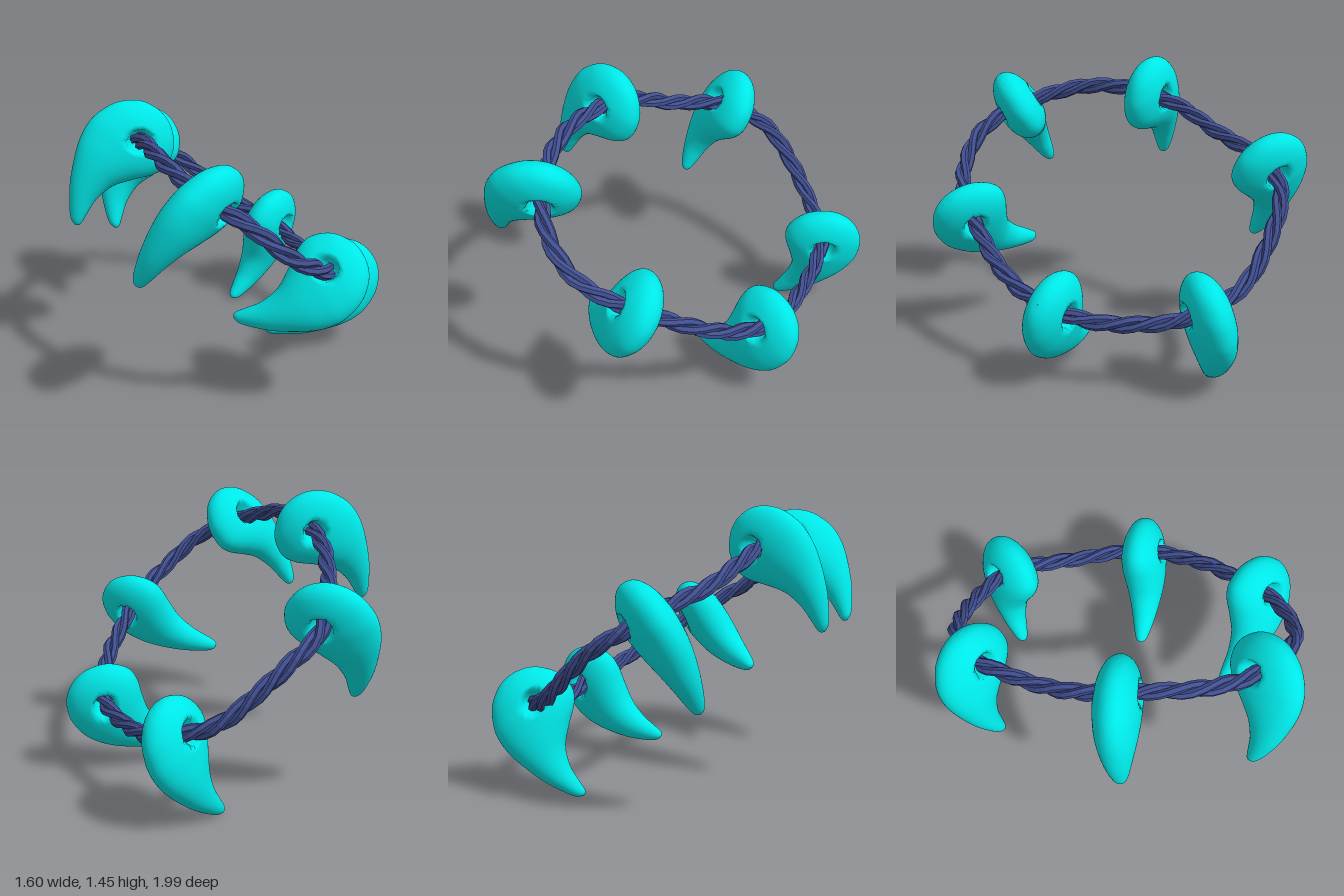
import * as THREE from 'three';
import { mergeVertices } from 'three/addons/utils/BufferGeometryUtils.js';

const V = (x, y, z) => new THREE.Vector3(x, y, z);

// Closed loop of the cord
const loop = [
  V(0.14, 0.455, -0.79), V(0.25, 0.395, -0.69), V(0.42, 0.365, -0.48), V(0.54, 0.38, -0.31),
  V(0.6, 0.41, -0.195), V(0.63, 0.45, -0.02), V(0.63, 0.54, 0.18), V(0.58, 0.66, 0.4),
  V(0.55, 0.725, 0.51), V(0.49, 0.8, 0.64), V(0.38, 0.9, 0.76), V(0.24, 1.03, 0.81),
  V(0.11, 1.11, 0.79), V(0.005, 1.16, 0.75), V(-0.12, 1.21, 0.67), V(-0.27, 1.265, 0.51),
  V(-0.37, 1.275, 0.34), V(-0.445, 1.25, 0.19), V(-0.52, 1.19, 0.0), V(-0.55, 1.1, -0.2),
  V(-0.56, 1.035, -0.43), V(-0.55, 0.985, -0.57), V(-0.505, 0.91, -0.69), V(-0.42, 0.84, -0.765),
  V(-0.27, 0.7, -0.82), V(-0.1, 0.55, -0.84), V(0.03, 0.485, -0.825),
];
const path = new THREE.CatmullRomCurve3(loop, true);
const loopUp = V(0.6, 1, -0.4).normalize();

// Index of the loop point at each bead's hole, and the tip of its tail
const beads = [
  [0, V(-0.065, 0.005, -0.64)],
  [4, V(0.19, 0.13, 0.0)],
  [8, V(0.09, 0.47, 0.54)],
  [13, V(-0.32, 0.775, 0.87)],
  [17, V(-0.735, 0.845, 0.35)],
  [21, V(-0.7, 0.54, -0.37)],
];

// Bead stations: distance along the bead, sideways bend, half width, half thickness
const BEAD_LENGTH = 0.535;
const stations = [
  [-0.178, 0.01, 0.0005, 0.0005], [-0.168, 0.01, 0.065, 0.037], [-0.135, 0.01, 0.127, 0.07],
  [-0.07, 0.01, 0.188, 0.1], [0.025, 0.016, 0.22, 0.117], [0.1, 0.032, 0.209, 0.117],
  [0.18, 0.06, 0.167, 0.109], [0.27, 0.077, 0.116, 0.092], [0.37, 0.066, 0.079, 0.07],
  [0.45, 0.038, 0.055, 0.051], [0.505, 0.014, 0.036, 0.034], [0.526, 0.004, 0.021, 0.02],
  [BEAD_LENGTH, 0, 0.0005, 0.0005],
];

// Comma-shaped bead lofted from ellipses, with a funnel pressed in on both faces
function beadGeometry() {
  const spine = new THREE.CatmullRomCurve3(stations.map(([s, c, w]) => V(s, c, w)), false, 'catmullrom');
  const depth = new THREE.CatmullRomCurve3(stations.map(([s, , , h]) => V(s, h, 0)), false, 'catmullrom');
  const rings = 66, sides = 60, pos = [], index = [];
  for (let i = 0; i <= rings; i++) {
    const p = spine.getPoint(i / rings), h = depth.getPoint(i / rings).y;
    for (let j = 0; j < sides; j++) {
      const a = (j / sides) * Math.PI * 2;
      const x = p.y + p.z * Math.cos(a), y = p.x;
      const dent = 0.25 + 0.75 * THREE.MathUtils.smoothstep(Math.hypot(x, y), 0.035, 0.068);
      pos.push(x, y, h * Math.sin(a) * dent);
      if (i < rings) {
        const k = (j + 1) % sides, r = i * sides, n = r + sides;
        index.push(r + j, n + j, r + k, n + j, n + k, r + k);
      }
    }
  }
  const g = new THREE.BufferGeometry();
  g.setAttribute('position', new THREE.Float32BufferAttribute(pos, 3));
  g.setIndex(index);
  const merged = mergeVertices(g, 1e-5);
  merged.computeVertexNormals();
  return merged;
}

// One strand winding around the loop
class Strand extends THREE.Curve {
  constructor(phase) {
    super();
    this.phase = phase;
  }
  getPoint(t, target = V(0, 0, 0)) {
    const u = t % 1;
    const tangent = path.getTangentAt(u);
    const side = tangent.clone().cross(loopUp).normalize();
    const up = side.clone().cross(tangent);
    const a = this.phase + u * 11 * Math.PI * 2;
    return target.copy(path.getPointAt(u))
      .addScaledVector(side, 0.024 * Math.cos(a))
      .addScaledVector(up, 0.024 * Math.sin(a));
  }
}

export function createModel() {
  const turquoise = new THREE.MeshStandardMaterial({ color: 0x00e8e8 });
  turquoise.name = 'turquoise';
  const navy = new THREE.MeshStandardMaterial({ color: 0x414f92, flatShading: true });
  navy.name = 'navy';
  const grey = new THREE.MeshStandardMaterial({ color: 0x5e5e62, flatShading: true });
  grey.name = 'grey';

  const model = new THREE.Group();
  model.name = 'beadNecklace';

  // Twisted cord of three strands around a thin core that shows in the gaps
  const cord = new THREE.Group();
  cord.name = 'cord';
  for (let i = 0; i < 3; i++) {
    const strand = new THREE.Mesh(
      new THREE.TubeGeometry(new Strand((i / 3) * Math.PI * 2), 99, 0.0215, 6, true), navy);
    strand.name = 'cordStrand' + (i + 1);
    cord.add(strand);
  }
  const core = new THREE.Mesh(new THREE.TubeGeometry(path, 120, 0.018, 6, true), grey);
  core.name = 'cordCore';
  cord.add(core);
  model.add(cord);

  // Beads threaded square to the cord, tails towards their tips
  const geometry = beadGeometry();
  beads.forEach(([at, tip], i) => {
    const hole = loop[at];
    const along = tip.clone().sub(hole);
    const slip = (along.length() - BEAD_LENGTH) / 2;
    along.normalize();
    const normal = path.getTangent(at / loop.length).negate();
    normal.addScaledVector(along, -normal.dot(along)).normalize();
    const belly = along.clone().cross(normal);
    const bead = new THREE.Mesh(geometry, turquoise);
    bead.name = 'bead' + (i + 1);
    bead.quaternion.setFromRotationMatrix(new THREE.Matrix4().makeBasis(belly, along, normal));
    bead.position.copy(hole).addScaledVector(along, slip);
    model.add(bead);
  });
  return model;
}
